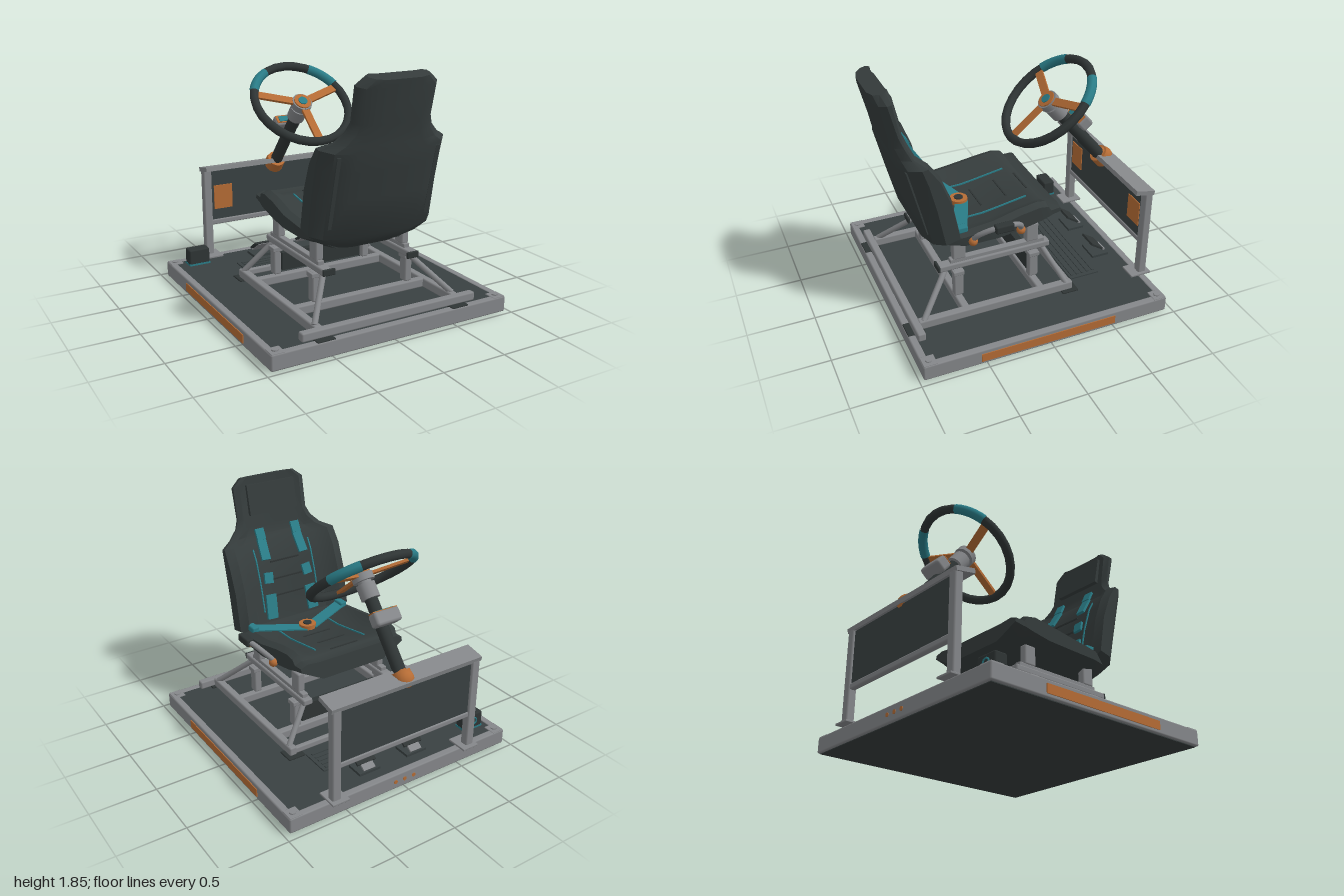
import * as THREE from 'three';
import { toCreasedNormals } from 'three/addons/utils/BufferGeometryUtils.js';
import { RoundedBoxGeometry } from 'three/addons/geometries/RoundedBoxGeometry.js';

const material = (name, color) => {
  const m = new THREE.MeshStandardMaterial({ color });
  m.name = name;
  return m;
};
const V = (x, y, z) => new THREE.Vector3(x, y, z);

export function createModel() {
  const metal = material('frame grey', 0x85878a);
  const deckMat = material('deck charcoal', 0x394142);
  const seatMat = material('seat charcoal', 0x353c3c);
  const rubber = material('dark rubber', 0x2f3535);
  const orange = material('copper orange', 0xb56c35);
  const teal = material('teal', 0x2a7d88);
  const model = new THREE.Group();
  model.name = 'drivingRig';

  const add = (name, geo, mat, pos = [0, 0, 0], parent = model) => {
    const m = new THREE.Mesh(geo, mat);
    m.name = name;
    m.position.set(...pos);
    parent.add(m);
    return m;
  };
  const box = (name, mat, size, pos, parent) => add(name, new THREE.BoxGeometry(...size), mat, pos, parent);
  const soft = (name, mat, size, pos, r = 0.012, parent = model) =>
    add(name, new RoundedBoxGeometry(...size, 1, r), mat, pos, parent);
  // flat bar from a to b, w across and t thick along "up"
  const bar = (name, mat, a, b, w, t, up = V(0, 1, 0), parent = model) => {
    const m = box(name, mat, [w, t, a.distanceTo(b)], a.clone().lerp(b, 0.5).toArray(), parent);
    m.quaternion.setFromRotationMatrix(new THREE.Matrix4().lookAt(a, b, up));
    return m;
  };
  const rod = (name, mat, a, b, r) => {
    const m = add(name, new THREE.CylinderGeometry(r, r, a.distanceTo(b), 10), mat, a.clone().lerp(b, 0.5).toArray());
    m.quaternion.setFromUnitVectors(V(0, 1, 0), b.clone().sub(a).normalize());
    return m;
  };
  // skin through matching rings, with end caps
  const loft = (rings) => {
    const n = rings[0].length, pos = rings.flat(2), idx = [];
    for (let i = 0; i < rings.length - 1; i++)
      for (let j = 0; j < n; j++) {
        const a = i * n + j, b = i * n + (j + 1) % n;
        idx.push(a, b, b + n, a, b + n, a + n);
      }
    [0, rings.length - 1].forEach((r, end) => {
      const c = pos.length / 3;
      for (let k = 0; k < 3; k++) pos.push(rings[r].reduce((s, p) => s + p[k], 0) / n);
      for (let j = 0; j < n; j++) {
        const a = r * n + j, b = r * n + (j + 1) % n;
        idx.push(...(end ? [a, b, c] : [b, a, c]));
      }
    });
    const g = new THREE.BufferGeometry();
    g.setAttribute('position', new THREE.Float32BufferAttribute(pos, 3));
    g.setIndex(idx);
    return toCreasedNormals(g, 0.6);
  };
  const mirrorRing = (half) => [...half, ...half.map(([x, y, z]) => [-x, y, z]).reverse()];

  // ---- platform ----
  box('deckPanel', deckMat, [1.84, 0.1, 1.84], [0, 0.075, 0.01]);
  box('underside', seatMat, [1.88, 0.012, 1.88], [0, 0.01, 0.01]);
  for (const s of [-1, 1]) {
    soft('sideBeam', metal, [0.058, 0.12, 1.92], [s * 0.931, 0.07, 0.01]);
    soft('endBeam', metal, [1.92, 0.12, 0.058], [0, 0.07, 0.01 + s * 0.931]);
    box('sideStripe', orange, [0.008, 0.065, 1.055], [s * 0.962, 0.067, 0.018]);
    for (const t of [-1, 1]) {
      soft('cornerCap', metal, [0.1, 0.012, 0.1], [s * 0.905, 0.127, 0.01 + t * 0.905], 0.004);
      add('cornerBolt', new THREE.CylinderGeometry(0.025, 0.025, 0.012, 10), metal, [s * 0.905, 0.135, 0.01 + t * 0.905]);
    }
  }
  for (const x of [-0.08, 0, 0.08])
    add('rearStud', new THREE.CylinderGeometry(0.016, 0.016, 0.01, 10).rotateX(Math.PI / 2), orange, [x, 0.07, -0.949]);

  // ---- seat frame ----
  soft('rearCrossbar', metal, [1.42, 0.065, 0.06], [0, 0.165, 0.89]);
  soft('frontCrossbar', metal, [1.16, 0.05, 0.04], [0, 0.165, -0.33]);
  for (const z of [0.5, -0.1]) soft('lowerCrossbar', metal, [1.1, 0.07, 0.06], [0, 0.165, z]);
  for (const s of [-1, 1]) {
    soft('lowerRail', metal, [0.06, 0.07, 1.22], [s * 0.56, 0.165, 0.26]);
    for (const z of [-0.32, 0.9]) soft('railFoot', rubber, [0.14, 0.014, 0.13], [s * 0.55, 0.13, z], 0.005);
    soft('upperRail', metal, [0.08, 0.05, 0.88], [s * 0.36, 0.46, 0.2]);
    soft('slideRail', metal, [0.05, 0.035, 0.75], [s * 0.36, 0.498, 0.175], 0.006);
    soft('railEnd', rubber, [0.1, 0.05, 0.02], [s * 0.35, 0.46, 0.64], 0.008);
    for (const z of [0.5, -0.1]) {
      soft('leg', metal, [0.06, 0.22, 0.075], [s * 0.39, 0.32, z]);
      soft('legBracket', metal, [0.08, 0.035, 0.085], [s * 0.39, 0.41, z], 0.006);
      soft('seatMount', metal, [0.06, 0.15, 0.1], [s * 0.36, 0.585, z - (z > 0 ? 0.02 : 0)]);
    }
    rod('rearBrace', metal, V(s * 0.57, 0.19, 0.83), V(s * 0.36, 0.44, 0.58), 0.022);
    rod('frontBrace', metal, V(s * 0.57, 0.19, -0.3), V(s * 0.36, 0.44, -0.18), 0.022);
  }
  box('underSeatBox', rubber, [0.69, 0.14, 0.05], [0, 0.3, -0.1]);

  // ---- seat back: height, half width, back z, bolster z, centre recess, side setback ----
  const back = [
    [0.595, 0.27, 0.6, 0.48, 0.02, 0.05], [0.65, 0.4, 0.68, 0.47, 0.04, 0.08], [0.71, 0.5, 0.725, 0.49, 0.06, 0.11],
    [1.0, 0.5, 0.8, 0.545, 0.07, 0.13], [1.2, 0.5, 0.848, 0.62, 0.06, 0.13], [1.33, 0.495, 0.88, 0.7, 0.05, 0.12],
    [1.38, 0.41, 0.89, 0.765, 0.03, 0.09], [1.45, 0.34, 0.91, 0.795, 0.02, 0.08], [1.52, 0.31, 0.926, 0.82, 0.015, 0.07],
    [1.76, 0.31, 0.985, 0.865, 0.015, 0.07], [1.82, 0.235, 1.0, 0.88, 0.01, 0.06],
  ];
  const tilt = 0.25;
  add('seatBack', loft(back.map(([y, w, zb, zf, d, e]) => mirrorRing([
    [0.55 * w, zb], [0.85 * w, zb - 0.35 * e], [w, zb - e], [w, zf + 0.02], [0.86 * w, zf], [0.64 * w, zf + d],
  ].map(([x, z]) => [x, y + tilt * (zb - z), z])))), seatMat);
  // ---- cushion: z, half width, bottom, bolster top, centre recess ----
  const cushion = [
    [-0.31, 0.45, 0.67, 0.815, 0.01], [-0.235, 0.455, 0.655, 0.81, 0.015], [-0.215, 0.46, 0.65, 0.85, 0.045],
    [-0.15, 0.465, 0.632, 0.862, 0.06], [0, 0.47, 0.605, 0.84, 0.065], [0.2, 0.485, 0.588, 0.8, 0.06],
    [0.45, 0.48, 0.585, 0.77, 0.04], [0.59, 0.43, 0.6, 0.76, 0.04],
  ];
  add('seatCushion', loft(cushion.map(([z, w, yb, yt, d]) => mirrorRing([
    [0.6 * w, yb], [w, yb + 0.095], [w, yt - 0.02], [0.88 * w, yt], [0.64 * w, yt - d],
  ].map(([x, y]) => [x, y, z + 0.14 * (y - yb)])))), seatMat);

  // points on the inner surfaces of the seat
  const interp = (table, v) => {
    let i = 1;
    while (i < table.length - 1 && table[i][0] < v) i++;
    const [a, b] = [table[i - 1], table[i]];
    return a[1] + (b[1] - a[1]) * (v - a[0]) / (b[0] - a[0]);
  };
  const backLine = back.map(([y, , zb, zf, d]) => [y + tilt * (zb - zf - d), zf + d]);
  const seatLine = cushion.map(([z, , yb, yt, d]) => [z + 0.14 * (yt - d - yb), yt - d]);
  const onBack = (x, y, lift = 0.004) => V(x, y, interp(backLine, y) - lift);
  const onSeat = (x, z, lift = 0.004) => V(x, interp(seatLine, z) + lift, z);
  const forward = V(0, 0.3, -1);

  bar('headPad', seatMat, V(0, 1.56, 0.835), V(0, 1.79, 0.885), 0.42, 0.06, forward);
  for (const y of [0.95, 1.08, 1.21])
    box('backSeam', rubber, [0.26, 0.012, 0.012], onBack(0, y, 0.002).toArray());
  for (const z of [-0.17, 0, 0.2])
    box('cushionSeam', rubber, [0.24, 0.008, 0.012], onSeat(0, z, 0.002).toArray());
  for (const s of [-1, 1]) {
    for (let i = 0; i < 6; i++) {
      bar('backPiping', teal, onBack(s * 0.25, 0.84 + i * 0.08), onBack(s * 0.25, 0.92 + i * 0.08), 0.01, 0.012, forward);
      bar('cushionPiping', teal, onSeat(s * 0.22, -0.12 + i * 0.09), onSeat(s * 0.22, -0.03 + i * 0.09), 0.01, 0.012);
    }
    bar('backRib', seatMat, V(s * 0.39, 0.8, 0.705), V(s * 0.39, 1.32, 0.833), 0.03, 0.03, V(0, 0, 1));
    // harness: top y, bottom y, top x, bottom x, width, lift
    for (const [y0, y1, x0, x1, w, lift] of [[1.46, 1.38, 0.16, 0.16, 0.075, 0.03], [1.38, 1.24, 0.16, 0.17, 0.075, 0.022],
      [1.14, 1.06, 0.17, 0.18, 0.075, 0.012], [0.97, 0.78, 0.18, 0.19, 0.09, 0.012]])
      bar('shoulderStrap', teal, onBack(s * x0, y0, lift), onBack(s * x1, y1, lift), w, 0.02, forward);
    bar('lapStrap', teal, onSeat(s * 0.02, 0.32, 0.014), V(s * 0.41, 0.785, 0.475), 0.1, 0.01);
    bar('legStrap', teal, onSeat(s * 0.12, 0.35, 0.012), onSeat(s * 0.29, 0.5, 0.012), 0.05, 0.01);
    soft('lapAnchor', teal, [0.06, 0.05, 0.1], [s * 0.41, 0.785, 0.475]);
  }
  add('harnessBuckle', new THREE.CylinderGeometry(0.068, 0.068, 0.035, 14), orange, onSeat(0, 0.335, 0.025).toArray());
  add('buckleButton', new THREE.CylinderGeometry(0.034, 0.034, 0.008, 14), rubber, onSeat(0, 0.335, 0.046).toArray());

  // ---- side grab handle ----
  const grab = new THREE.CatmullRomCurve3([V(0.47, 0.71, 0.41), V(0.53, 0.78, 0.39), V(0.59, 0.845, 0.3),
    V(0.61, 0.855, 0.22), V(0.59, 0.845, 0.14), V(0.53, 0.78, 0.06), V(0.47, 0.71, 0.04)]);
  add('grabHandle', new THREE.TubeGeometry(grab, 24, 0.02, 8), metal);
  soft('grabGrip', rubber, [0.06, 0.06, 0.14], [0.608, 0.853, 0.225]);
  for (const z of [0.41, 0.04]) add('grabEnd', new THREE.SphereGeometry(0.035, 10, 8), orange, [0.485, 0.71, z]);

  // ---- dash stand ----
  bar('dashBeam', metal, V(0, 0.89, -0.815), V(0, 0.86, -0.968), 1.28, 0.035);
  box('dashPanel', deckMat, [1.16, 0.42, 0.03], [0, 0.63, -0.935]);
  soft('dashLowerRail', metal, [1.2, 0.045, 0.05], [0, 0.41, -0.935]);
  for (const s of [-1, 1]) {
    soft('dashPost', metal, [0.07, 0.73, 0.065], [s * 0.595, 0.495, -0.935]);
    soft('dashFoot', metal, [0.14, 0.016, 0.17], [s * 0.58, 0.137, -0.915], 0.004);
    box('dashPlate', orange, [0.16, 0.2, 0.008], [s * 0.46, 0.62, -0.917]);
    // pedals
    bar('pedalArm', metal, V(s * 0.21, 0.24, -0.68), V(s * 0.21, 0.15, -0.81), 0.1, 0.014);
    bar('pedalPad', rubber, V(s * 0.21, 0.252, -0.672), V(s * 0.21, 0.185, -0.772), 0.16, 0.016);
    box('pedalBase', deckMat, [0.18, 0.02, 0.14], [s * 0.21, 0.135, -0.75]);
  }
  box('heelMat', deckMat, [0.96, 0.012, 0.24], [0, 0.129, -0.51]);
  for (let i = 0; i < 5; i++) box('matTread', deckMat, [0.9, 0.008, 0.02], [0, 0.138, -0.42 - i * 0.045]);

  // ---- control box ----
  soft('controlBox', rubber, [0.17, 0.13, 0.1], [-0.76, 0.205, -0.77]);
  box('controlBoxTrim', teal, [0.173, 0.015, 0.104], [-0.76, 0.147, -0.77]);
  add('controlLens', new THREE.TorusGeometry(0.028, 0.007, 6, 14), teal, [-0.76, 0.21, -0.821]);

  // ---- steering wheel and column, local +z faces the driver ----
  const wheel = new THREE.Group();
  wheel.name = 'steering';
  wheel.position.set(0, 1.442, -0.388);
  wheel.rotation.x = -0.872;
  model.add(wheel);
  const deg = Math.PI / 180;
  const tube = (name, mat, r, z0, z1, r2 = r) => add(name,
    new THREE.CylinderGeometry(r, r2, z1 - z0, 16).rotateX(Math.PI / 2), mat, [0, 0, (z0 + z1) / 2], wheel);
  add('wheelRim', new THREE.TorusGeometry(0.383, 0.034, 8, 28), rubber, [0, 0, 0], wheel);
  for (const start of [24, 120])
    add('rimGrip', new THREE.TorusGeometry(0.383, 0.037, 8, 6, 36 * deg), teal, [0, 0, 0], wheel).rotation.z = start * deg;
  for (const a of [19, 161, 270]) {
    const c = Math.cos(a * deg), s = Math.sin(a * deg);
    bar('spoke', orange, V(c * 0.05, s * 0.05, 0), V(c * 0.37, s * 0.37, 0), 0.062, 0.02, V(0, 0, 1), wheel);
  }
  tube('hub', metal, 0.08, -0.04, 0.014);
  tube('hubRing', orange, 0.068, 0.014, 0.024);
  tube('hubButton', teal, 0.036, 0.024, 0.031);
  tube('hubNeck', metal, 0.05, -0.07, -0.04);
  tube('quickRelease', metal, 0.07, -0.17, -0.06);
  tube('column', rubber, 0.048, -0.76, -0.17);
  tube('columnBase', orange, 0.074, -0.8, -0.71);
  add('columnPivot', new THREE.SphereGeometry(0.074, 14, 8), orange, [0, 0.015, -0.765], wheel);
  soft('displayPod', metal, [0.21, 0.1, 0.1], [0, 0.08, -0.335], 0.02, wheel);
  box('podTrim', orange, [0.2, 0.07, 0.006], [0, 0.08, -0.284], wheel);
  box('podScreen', teal, [0.16, 0.05, 0.006], [0, 0.08, -0.28], wheel);
  return model;
}
